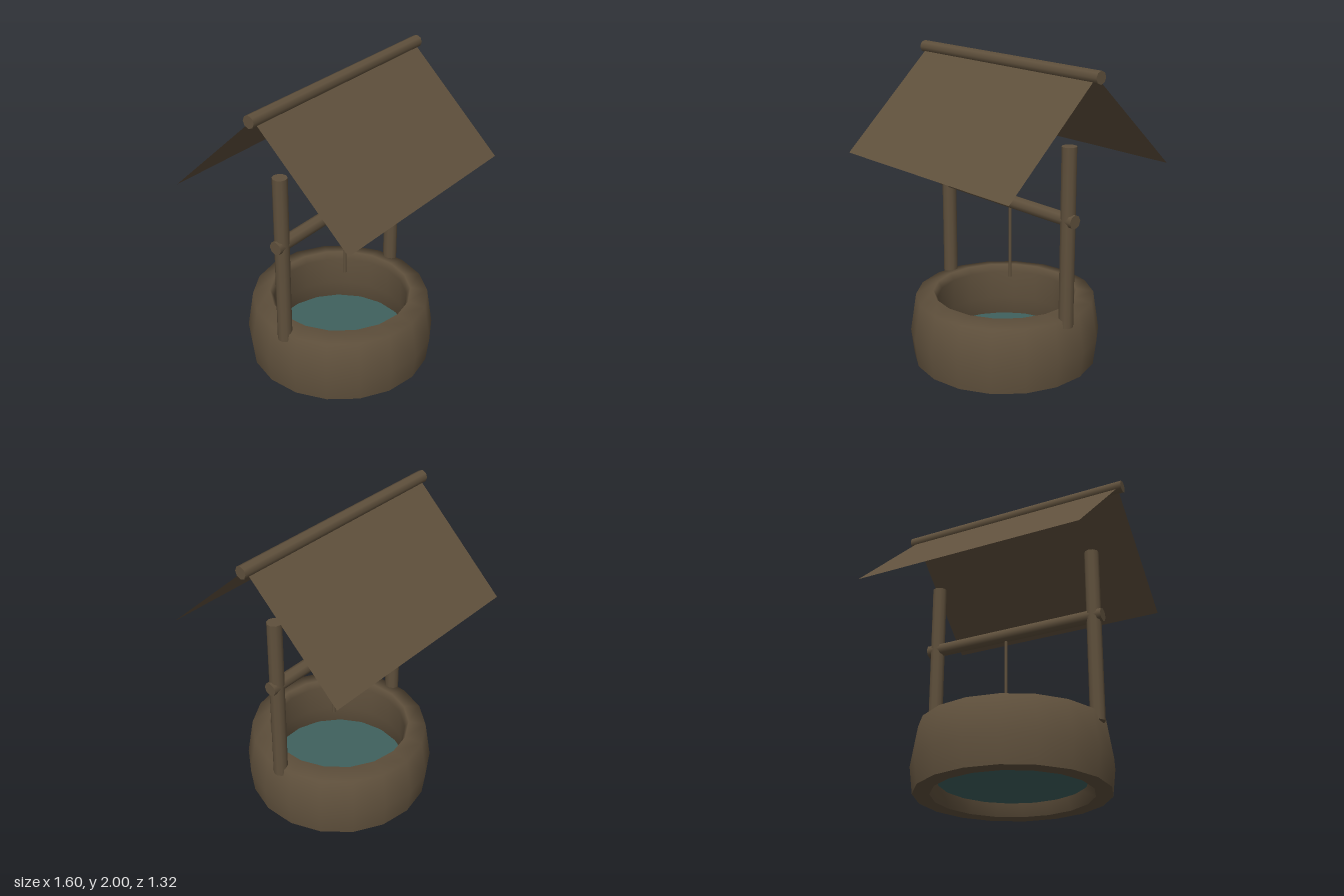
import * as THREE from 'three';

export function createModel() {
  const model = new THREE.Group();
  model.name = 'well';

  const brown = new THREE.MeshStandardMaterial({ color: 0x5f503c, side: THREE.DoubleSide });
  brown.name = 'weathered brown';
  const teal = new THREE.MeshStandardMaterial({ color: 0x3f615e, side: THREE.DoubleSide });
  teal.name = 'water teal';

  const add = (name, geometry, material, x = 0, y = 0, z = 0) => {
    const mesh = new THREE.Mesh(geometry, material);
    mesh.name = name;
    mesh.position.set(x, y, z);
    model.add(mesh);
    return mesh;
  };
  const pole = (radius, length, sides = 8) => new THREE.CylinderGeometry(radius, radius, length, sides);

  // Bulging ring wall; doubled points keep the foot edges sharp
  const profile = [
    [0.605, 0], [0.625, 0.17], [0.585, 0.425], [0.47, 0.447], [0.445, 0.4],
    [0.45, 0.2], [0.465, 0.08], [0.5, 0], [0.5, 0], [0.605, 0],
  ].map(([r, y]) => new THREE.Vector2(r, y));
  add('wellWall', new THREE.LatheGeometry(profile, 18), brown);

  // Water surface
  add('water', new THREE.CircleGeometry(0.46, 18).rotateX(-Math.PI / 2), teal, 0, 0.08, 0);

  // Posts
  for (const [name, side] of [['leftPost', 1], ['rightPost', -1]]) {
    add(name, pole(0.047, 1.15, 10), brown, side * 0.565, 0.95, 0);
  }

  // Winding bar and rope
  add('windingBar', pole(0.044, 1.25).rotateZ(Math.PI / 2), brown, 0, 1.07, 0);
  add('rope', pole(0.01, 0.5), brown, 0.05, 0.805, 0);

  // Ridge beam
  add('ridgeBeam', pole(0.04, 1.6).rotateZ(Math.PI / 2), brown, 0, 1.96, 0);

  // Two thin roof slopes running from the ridge down to the eaves
  const ridgeY = 1.96, eaveY = 1.345, eaveZ = 0.66;
  const slope = Math.hypot(eaveZ, ridgeY - eaveY);
  const tilt = Math.atan2(eaveZ, ridgeY - eaveY);
  for (const [name, turn] of [['frontRoof', 0], ['backRoof', Math.PI]]) {
    const sheet = new THREE.PlaneGeometry(1.53, slope);
    sheet.translate(0, -slope / 2, 0).rotateX(-tilt).rotateY(turn);
    add(name, sheet, brown, 0, ridgeY, 0);
  }

  return model;
}
